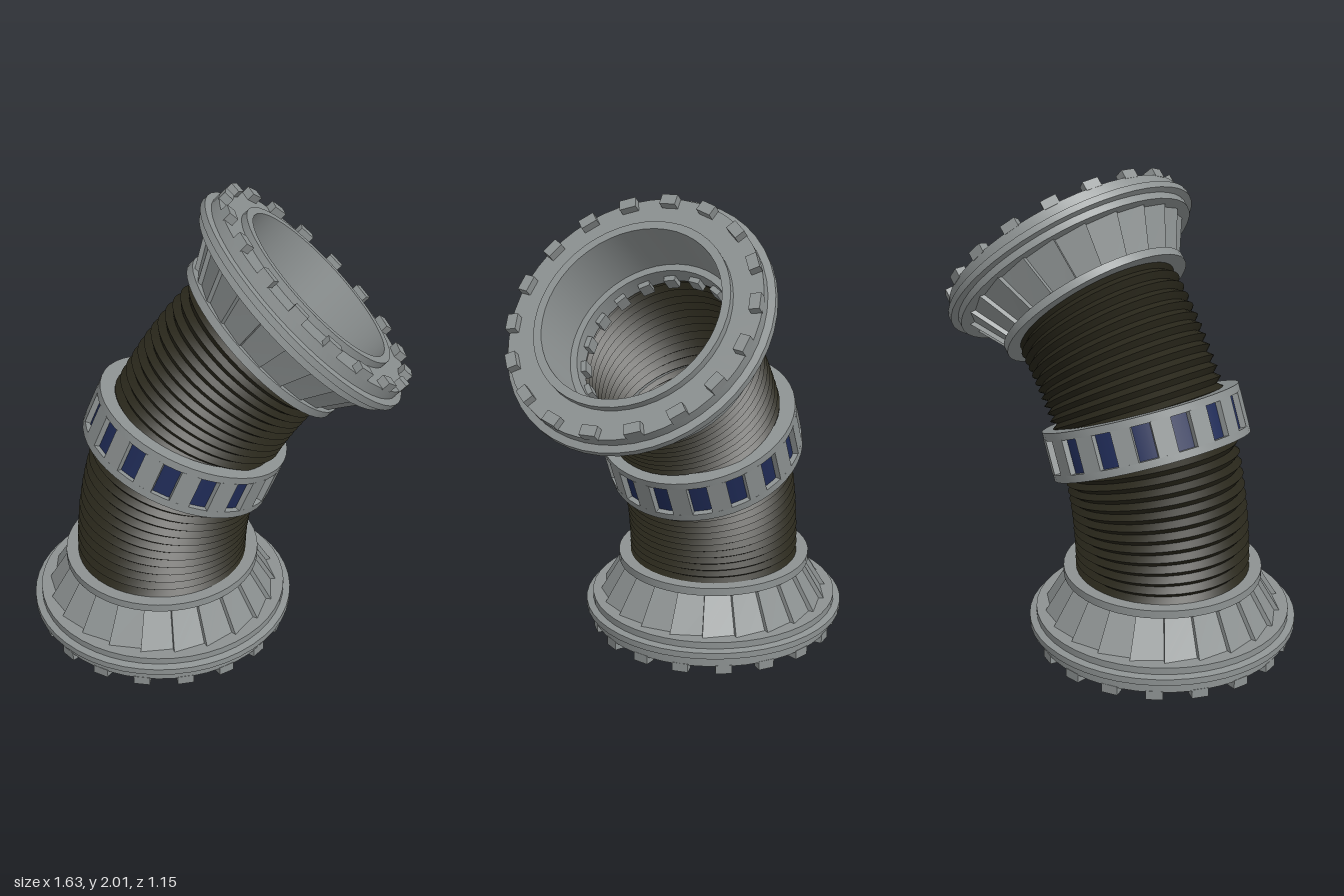
import * as THREE from 'three';
import { toCreasedNormals } from 'three/addons/utils/BufferGeometryUtils.js';

const DEG = Math.PI / 180;

function material(name, color, side = THREE.FrontSide) {
  const m = new THREE.MeshStandardMaterial({ color, side });
  m.name = name;
  return m;
}

export function createModel() {
  const grey = material('metal grey', 0x8d9292);
  const rubber = material('dark olive rubber', 0x28261a, THREE.DoubleSide);
  const blue = material('window blue', 0x202c58);

  const add = (parent, name, geometry, mat) => {
    const mesh = new THREE.Mesh(geometry, mat);
    mesh.name = name;
    parent.add(mesh);
    return mesh;
  };

  // Closed solid of revolution from [radius, y] pairs
  const turned = (points) => toCreasedNormals(
    new THREE.LatheGeometry([...points, points[0]].map(([r, y]) => new THREE.Vector2(r, y)), 48), 30 * DEG);

  // Copies of one geometry, which points out along +x, around the y axis
  const around = (parent, name, geometry, mat, count, offset) => {
    for (let i = 0; i < count; i++) {
      add(parent, name, geometry, mat).rotation.y = offset * DEG + (i / count) * Math.PI * 2;
    }
  };

  // Sloping cover panel, tapered and twisted so neighbours step like louvres
  function panelGeometry() {
    const g = new THREE.BoxGeometry(0.03, 1, 1);
    const p = g.attributes.position;
    for (let i = 0; i < p.count; i++) {
      const t = p.getY(i) + 0.5;
      const side = p.getZ(i);
      const r = THREE.MathUtils.lerp(0.493, 0.396, t);
      const width = THREE.MathUtils.lerp(0.138, 0.112, t);
      p.setXYZ(i, r + p.getX(i) - 0.015 + side * 0.022, THREE.MathUtils.lerp(0.148, 0.312, t), side * width);
    }
    g.computeVertexNormals();
    return g;
  }

  // End collar: open face at y = 0, hose end at y = 0.345
  function collar(name) {
    const g = new THREE.Group();
    g.name = name;
    add(g, 'collarBody', turned([
      [0.385, 0.005], [0.42, 0.005], [0.42, 0.035], [0.545, 0.035], [0.545, 0.08],
      [0.575, 0.086], [0.575, 0.114], [0.545, 0.12], [0.545, 0.15], [0.48, 0.15],
      [0.385, 0.31], [0.425, 0.31], [0.425, 0.345], [0.345, 0.345], [0.345, 0.26], [0.375, 0.26],
    ]), grey);
    around(g, 'slopingPanel', panelGeometry(), grey, 22, 0);
    around(g, 'faceTooth', new THREE.BoxGeometry(0.045, 0.04, 0.07).translate(0.523, 0.02, 0), grey, 18, -5);
    around(g, 'innerTooth', new THREE.BoxGeometry(0.025, 0.06, 0.05).translate(0.334, 0.33, 0), grey, 18, 5);
    return g;
  }

  const model = new THREE.Group();
  model.name = 'flexiblePipe';

  const lower = collar('lowerCollar');
  lower.position.set(-0.235, 0, 0);
  const upper = collar('upperCollar');
  upper.position.set(0.435, 1.625, 0);
  upper.rotation.z = 135 * DEG;
  model.add(lower, upper);

  // Ribbed hose: a pleated tube bent through 45 degrees
  const bend = 1.47;
  const ribs = 30;
  const hose = new THREE.CylinderGeometry(1, 1, 1, 48, ribs * 2, true);
  const p = hose.attributes.position;
  for (let i = 0; i < p.count; i++) {
    const t = p.getY(i) + 0.5;
    const r = Math.round(t * ribs * 2) % 2 ? 0.373 : 0.348;
    const a = THREE.MathUtils.lerp(-0.8, 45.8, t) * DEG;
    const reach = bend - p.getX(i) * r;
    p.setXYZ(i, -0.235 + bend - reach * Math.cos(a), 0.345 + reach * Math.sin(a), p.getZ(i) * r);
  }
  hose.computeVertexNormals();
  add(model, 'ribbedHose', toCreasedNormals(hose, 25 * DEG), rubber);

  // Middle ring: two rims joined by posts, with blue windows set back between
  const ring = new THREE.Group();
  ring.name = 'middleRing';
  ring.position.set(-0.125, 0.925, 0);
  ring.rotation.z = -22.5 * DEG;
  model.add(ring);
  for (const [name, y0, y1] of [['lowerRim', -0.106, -0.073], ['upperRim', 0.073, 0.106]]) {
    add(ring, name, turned([[0.36, y0], [0.427, y0], [0.427, y1], [0.36, y1]]), grey);
  }
  around(ring, 'windowPost', new THREE.BoxGeometry(0.036, 0.15, 0.084).translate(0.408, 0, 0), grey, 16, 16.25);
  add(ring, 'windowBand', new THREE.CylinderGeometry(0.404, 0.404, 0.15, 48, 1, true), blue);

  return model;
}
